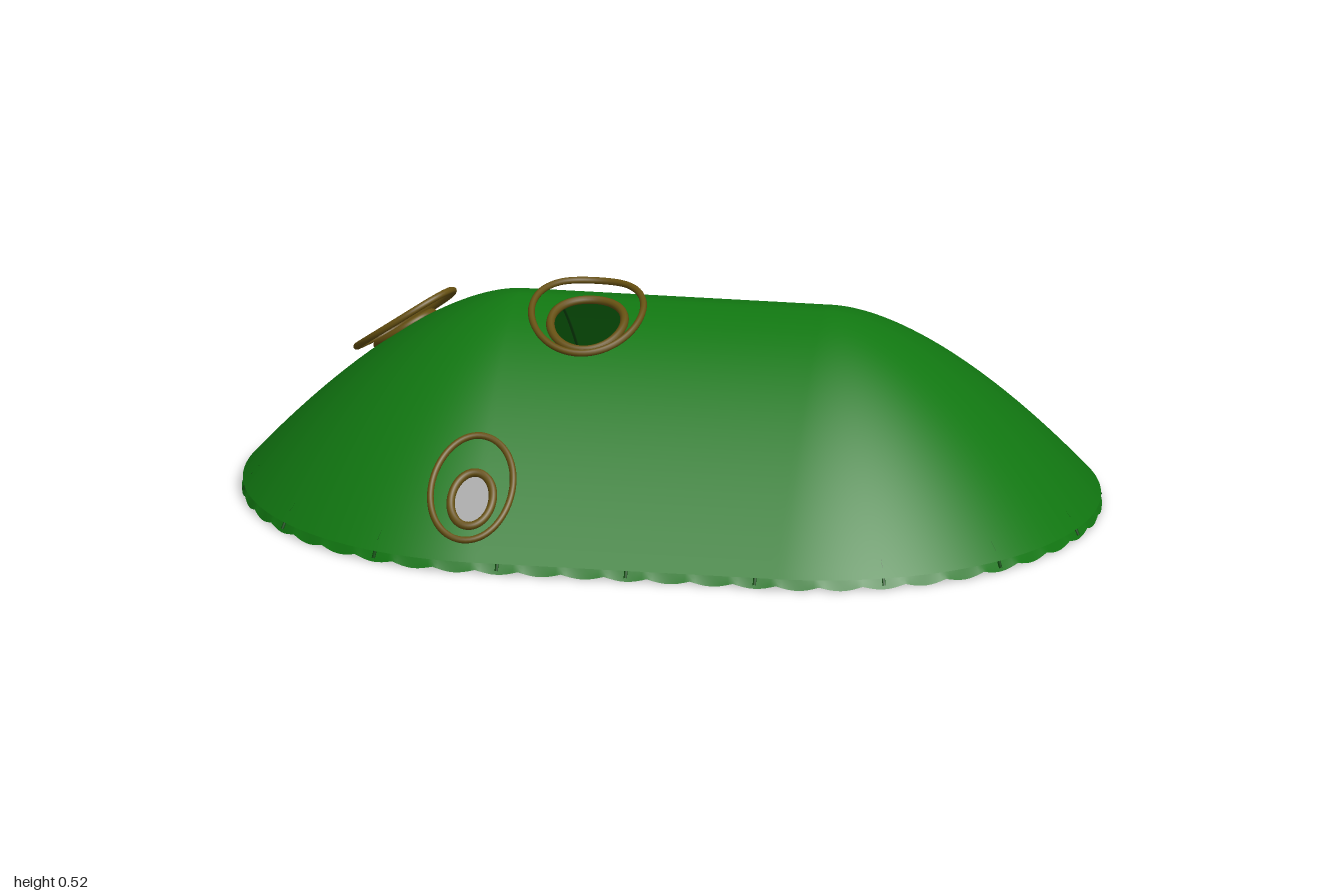
import * as THREE from 'three';

const L = 0.36, R = 0.64;                 // half length of the ridge, radius of the rounded ends
const PERIMETER = 2 * Math.PI * R + 4 * L;
const SEAMS = 18, SCALLOPS = 54;

const HOLES = [                           // plan position, grommet radius, raised ring radius
  { x: -0.65, z: -0.13, inner: 0.064, outer: 0.112 },
  { x: -0.18, z: 0.11, inner: 0.086, outer: 0.130 },
  { x: -0.38, z: 0.53, inner: 0.049, outer: 0.096 },
];

const paint = (color) => new THREE.MeshStandardMaterial({ color, side: THREE.DoubleSide });

// Height of the canopy at distance r from the ridge, and at a plan position
const profile = (r) => 0.03 + 0.45 * (1 - Math.pow(Math.min(r / R, 1.03), 1.6));
const heightAt = (x, z) => profile(Math.hypot(Math.max(Math.abs(x) - L, 0), z));

// Ridge point and outward direction for a distance s along the rim, starting at +x
function rim(s) {
  const q = Math.PI * R / 2;
  s = ((s % PERIMETER) + PERIMETER) % PERIMETER;
  let cx = L, a = s / R;
  if (s > q && s <= q + 2 * L) { cx = L - (s - q); a = Math.PI / 2; }
  else if (s > q + 2 * L && s <= 3 * q + 2 * L) { cx = -L; a = (s - 2 * L) / R; }
  else if (s > 3 * q + 2 * L && s <= 3 * q + 4 * L) { cx = -L + (s - 3 * q - 2 * L); a = 1.5 * Math.PI; }
  else if (s > 3 * q + 4 * L) a = (s - 4 * L) / R;
  return { cx, dx: Math.cos(a), dz: Math.sin(a) };
}

// Closed band of cross-sections around the rim; keep() may drop triangles
function sheet(nu, nv, point, keep = () => true) {
  const pos = [], index = [];
  for (let i = 0; i < nu; i++)
    for (let j = 0; j <= nv; j++) pos.push(...point(PERIMETER * i / nu, j / nv));
  const id = (i, j) => (i % nu) * (nv + 1) + j;
  for (let i = 0; i < nu; i++)
    for (let j = 0; j < nv; j++) {
      const a = id(i, j), b = id(i + 1, j), c = id(i, j + 1), d = id(i + 1, j + 1);
      for (const t of [[a, b, c], [b, d, c]]) if (keep(t, pos)) index.push(...t);
    }
  const geo = new THREE.BufferGeometry();
  geo.setAttribute('position', new THREE.Float32BufferAttribute(pos, 3));
  geo.setIndex(index);
  geo.computeVertexNormals();
  return geo;
}

// Canopy: points inside a hole move to its edge, triangles fully inside are dropped
function canopyGeometry() {
  const inside = new Set();
  let count = 0;
  return sheet(324, 56, (s, v) => {
    const p = rim(s);
    let x = p.cx + p.dx * R * v, z = p.dz * R * v;
    for (const h of HOLES) {
      const d = Math.hypot(x - h.x, z - h.z);
      if (d < h.inner) {
        inside.add(count);
        const k = h.inner / Math.max(d, 1e-6);
        x = h.x + (x - h.x) * k;
        z = h.z + (z - h.z) * k;
      }
    }
    count++;
    return [x, heightAt(x, z), z];
  }, (t) => !t.every((n) => inside.has(n)));
}

// Tube ring that follows the canopy at a given lift above it
function drapedRing(h, radius, lift, tube) {
  const pts = [];
  for (let i = 0; i < 40; i++) {
    const a = i / 40 * Math.PI * 2;
    const x = h.x + Math.cos(a) * radius, z = h.z + Math.sin(a) * radius;
    pts.push(new THREE.Vector3(x, heightAt(x, z) + lift, z));
  }
  return new THREE.TubeGeometry(new THREE.CatmullRomCurve3(pts, true), 72, tube, 10, true);
}

export function createModel() {
  const model = new THREE.Group();
  const green = paint(0x117711), darkGreen = paint(0x0a4a0a), olive = paint(0x665011);
  const add = (name, geo, mat, parent = model) => {
    const mesh = new THREE.Mesh(geo, mat);
    mesh.name = name;
    parent.add(mesh);
  };

  add('canopy', canopyGeometry(), green);

  // Short flared valance with a scalloped lower edge
  add('valance', sheet(SCALLOPS * 8, 2, (s, v) => {
    const p = rim(s);
    const drop = 0.019 + 0.009 * Math.abs(Math.sin(Math.PI * SCALLOPS * s / PERIMETER));
    const r = R - 0.012 + 0.014 * v;
    return [p.cx + p.dx * r, 0.032 - drop * v, p.dz * r];
  }), green);

  // Seams on the underside, running from the ridge to the rim
  const seams = new THREE.Group();
  seams.name = 'seams';
  model.add(seams);
  for (let k = 0; k < SEAMS; k++) {
    const p = rim((k + 0.5) * PERIMETER / SEAMS);
    const pts = [];
    for (let j = 0; j <= 12; j++) {
      const r = (R - 0.012) * j / 12;
      pts.push(new THREE.Vector3(p.cx + p.dx * r, profile(r) - 0.007, p.dz * r));
    }
    pts.push(new THREE.Vector3(p.cx + p.dx * R, 0.012, p.dz * R));
    add('seam', new THREE.TubeGeometry(new THREE.CatmullRomCurve3(pts), 36, 0.004, 6), darkGreen, seams);
  }

  // Each opening has a grommet on the cloth and a ring raised above it
  for (const h of HOLES) {
    const opening = new THREE.Group();
    opening.name = 'opening';
    model.add(opening);
    add('grommet', drapedRing(h, h.inner, 0.002, 0.01), olive, opening);
    add('raisedRing', drapedRing(h, h.outer, 0.034, 0.008), olive, opening);
  }
  return model;
}
